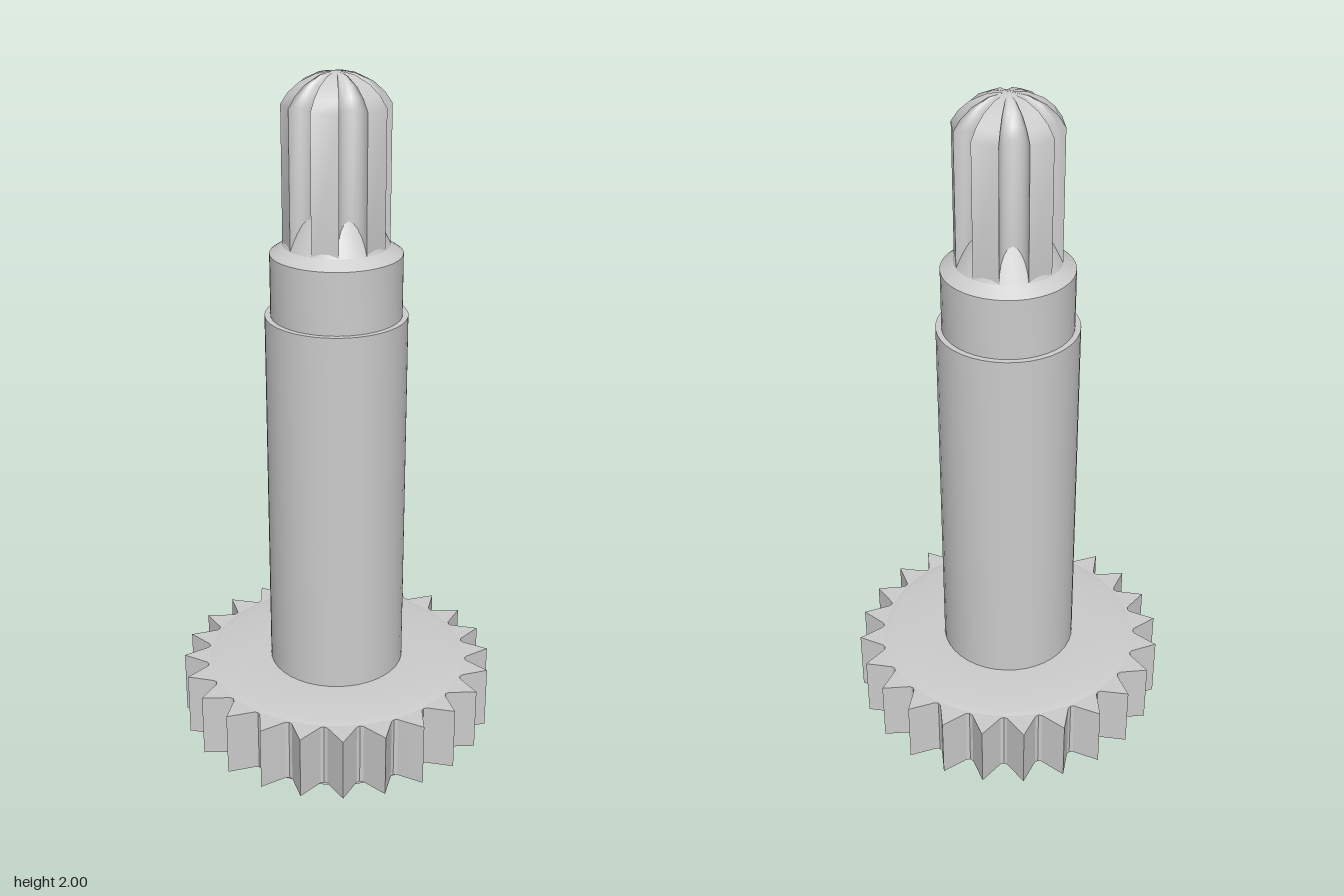
import * as THREE from 'three';
import { toCreasedNormals } from 'three/addons/utils/BufferGeometryUtils.js';

const material = new THREE.MeshStandardMaterial({ color: 0xcccccc });

function addPart(group, name, geometry, crease = 0.5) {
  const mesh = new THREE.Mesh(toCreasedNormals(geometry, crease), material);
  mesh.name = name;
  group.add(mesh);
  return mesh;
}

const lathe = (profile, segments = 40) =>
  new THREE.LatheGeometry(profile.map(([r, y]) => new THREE.Vector2(r, y)), segments);

// Sharp-toothed wheel with small rounded valleys
function gearGeometry(teeth, bottom, top) {
  const points = [];
  const step = (Math.PI * 2) / teeth;
  const valley = [[0.402, -0.017], [0.393, -0.01], [0.389, 0], [0.393, 0.01], [0.402, 0.017]];
  for (let i = 0; i < teeth; i++) {
    const a = i * step;
    for (const [x, y] of valley) {
      points.push(new THREE.Vector2(x, y).rotateAround(new THREE.Vector2(), a));
    }
    const t = a + step / 2;
    points.push(new THREE.Vector2(Math.cos(t), Math.sin(t)).multiplyScalar(0.461));
  }
  const geometry = new THREE.ExtrudeGeometry(new THREE.Shape(points), { depth: top - bottom, bevelEnabled: false });
  return geometry.rotateX(-Math.PI / 2).translate(0, bottom, 0);
}

// Six flat-topped ridges separated by round flutes, counter-clockwise from above
function splineSection() {
  const points = [];
  const ridges = 6, arcSteps = 10, halfWidth = 0.0375, face = 0.141;
  for (let i = 0; i < ridges; i++) {
    const ridge = THREE.MathUtils.degToRad(23 + i * 60);
    const flute = ridge + Math.PI / ridges;
    const center = new THREE.Vector2(Math.cos(flute), Math.sin(flute)).multiplyScalar(0.141);
    const corner = new THREE.Vector2(face, halfWidth).rotateAround(new THREE.Vector2(), ridge);
    const radius = corner.distanceTo(center);
    const start = Math.atan2(corner.y - center.y, corner.x - center.x);
    const mid = flute + Math.PI;
    const half = Math.acos(Math.cos(start - mid));
    for (let k = 0; k <= arcSteps; k++) {
      const a = mid - half + (2 * half * k) / arcSteps;
      // walk the concave arc from this ridge to the next
      const b = 2 * mid - a;
      points.push([center.x + radius * Math.cos(b), center.y + radius * Math.sin(b)]);
    }
  }
  return points;
}

// Fluted tip: one section swept up, then shrunk towards a domed end
function splineGeometry() {
  const section = splineSection();
  const n = section.length;
  const levels = [[1, 1.53], [1, 1.915], [0.86, 1.945], [0.66, 1.971], [0.36, 1.992]];
  const positions = [], index = [];
  for (const [s, y] of levels) {
    for (const [px, py] of section) positions.push(px * s, y, -py * s);
  }
  positions.push(0, 2, 0);
  const apex = levels.length * n;
  for (let j = 0; j < levels.length; j++) {
    for (let i = 0; i < n; i++) {
      const a = j * n + i, b = j * n + ((i + 1) % n);
      if (j === levels.length - 1) index.push(a, b, apex);
      else index.push(a, b, b + n, a, b + n, a + n);
    }
  }
  const geometry = new THREE.BufferGeometry();
  geometry.setAttribute('position', new THREE.Float32BufferAttribute(positions, 3));
  geometry.setIndex(index);
  return geometry;
}

export function createModel() {
  const group = new THREE.Group();
  group.name = 'splinedGearShaft';

  // Base disc with a slightly bulging underside
  addPart(group, 'baseDisc', lathe([[0, 0], [0.2, 0.007], [0.337, 0.012], [0.337, 0.07]], 48));

  // Toothed wheel and its shallow raised face
  addPart(group, 'gear', gearGeometry(24, 0.06, 0.25));
  addPart(group, 'gearFace', lathe([[0.387, 0.249], [0.365, 0.255], [0.2, 0.257], [0, 0.258]], 48));

  // Main shaft and the narrower collar above it
  addPart(group, 'shaft', lathe([[0.198, 0.24], [0.198, 1.34], [0.17, 1.34]]));
  addPart(group, 'collar', lathe([[0.182, 1.33], [0.182, 1.515], [0.145, 1.54]]));

  // Cone that closes the flutes at their lower ends
  addPart(group, 'fluteRunout', lathe([[0.147, 1.538], [0.092, 1.65], [0, 1.65]]));

  addPart(group, 'splineTip', splineGeometry(), 0.6);
  return group;
}
